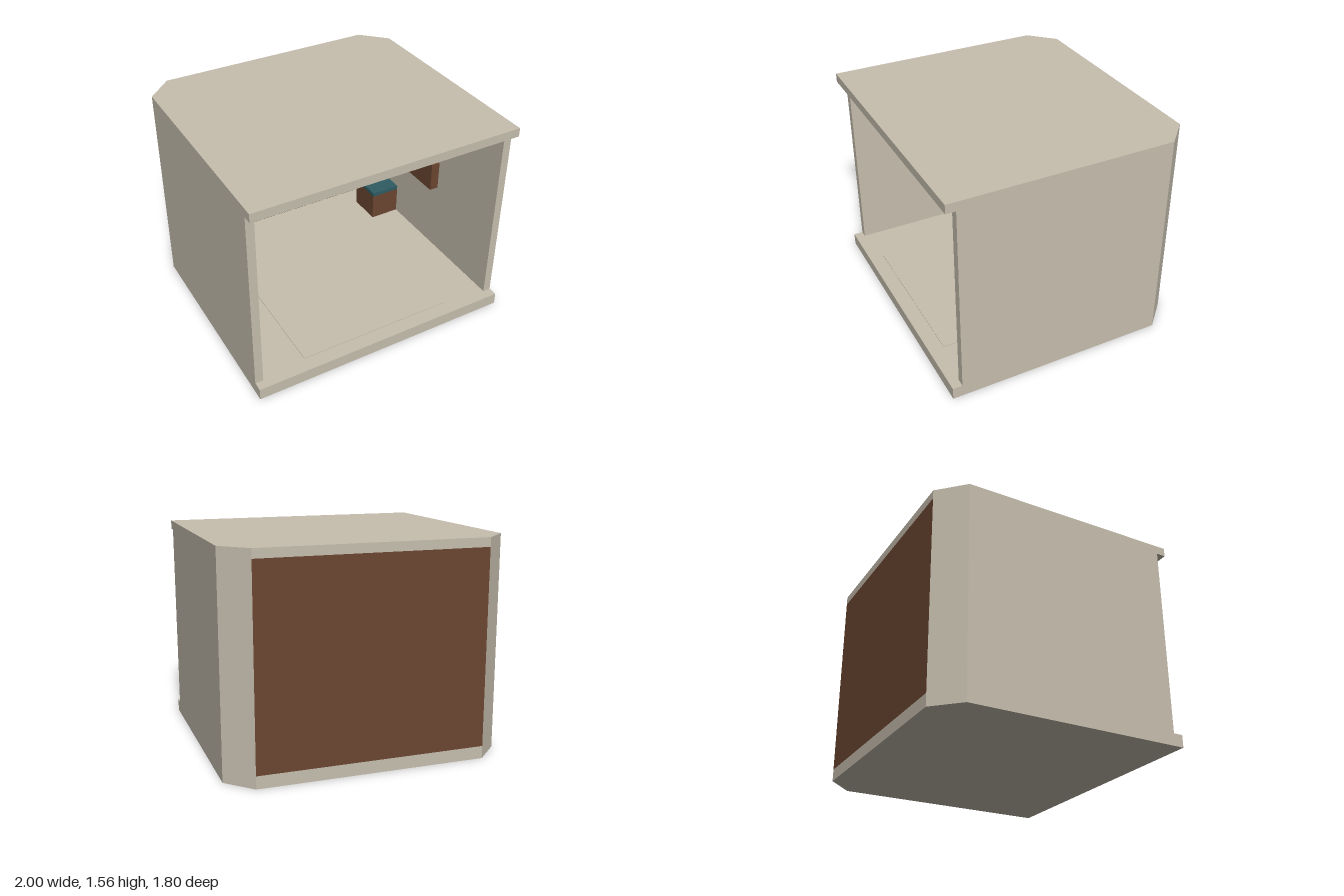
import * as THREE from 'three';

const mat = (name, color) => {
  const m = new THREE.MeshStandardMaterial({ color });
  m.name = name;
  return m;
};

export function createModel() {
  const stone = mat('warm beige', 0xc6beae);
  const wood = mat('dark brown', 0x6b4530);
  const teal = mat('deep teal', 0x2f5c63);
  const room = new THREE.Group();
  room.name = 'room';

  // Box given by its minimum and maximum corners
  const box = (name, material, [x0, y0, z0], [x1, y1, z1]) => {
    const mesh = new THREE.Mesh(new THREE.BoxGeometry(x1 - x0, y1 - y0, z1 - z0), material);
    mesh.position.set((x0 + x1) / 2, (y0 + y1) / 2, (z0 + z1) / 2);
    mesh.name = name;
    room.add(mesh);
  };

  // Vertical prism over a plan outline of [x, z] points
  const prism = (name, material, plan, y0, y1) => {
    const shape = new THREE.Shape(plan.map(([x, z]) => new THREE.Vector2(x, -z)));
    const geo = new THREE.ExtrudeGeometry(shape, { depth: y1 - y0, bevelEnabled: false });
    geo.rotateX(-Math.PI / 2);
    geo.translate(0, y0, 0);
    const mesh = new THREE.Mesh(geo, material);
    mesh.name = name;
    room.add(mesh);
  };

  const floorTop = 0.09, ceilingBase = 1.495, height = 1.56;

  // Floor and ceiling slabs with clipped back corners
  const slab = [[-1, 0.9], [1, 0.9], [1, -0.72], [0.82, -0.9], [-0.82, -0.9], [-1, -0.72]];
  prism('floor', stone, slab, 0, floorTop);
  prism('ceiling', stone, slab, ceilingBase, height);
  box('floorMat', stone, [-0.6, floorTop, -0.41], [0.6, floorTop + 0.005, 0.79]);

  // Back wall with its thin pale panel
  prism('backWall', wood, [[-0.8, -0.835], [0.8, -0.835], [0.82, -0.9], [-0.82, -0.9]], floorTop, ceilingBase);
  box('wallPanel', stone, [-0.625, 0.5, -0.835], [0.62, 0.92, -0.827]);

  for (const s of [-1, 1]) {
    const side = s > 0 ? 'left' : 'right';
    const span = (a, b) => [Math.min(s * a, s * b), Math.max(s * a, s * b)];

    // Side wall and angled corner wall
    prism(side + 'Wall', stone, [[s, 0.83], [s, -0.72], [s * 0.94, -0.695], [s * 0.94, 0.83]], floorTop, ceilingBase);
    prism(side + 'CornerWall', stone,
      [[s, -0.72], [s * 0.82, -0.9], [s * 0.8, -0.835], [s * 0.94, -0.695]], floorTop, ceilingBase);

    // Low seat with a teal cushion
    const [a, b] = span(0.7, 0.94);
    box(side + 'SeatBase', wood, [a, floorTop, -0.67], [b, 0.305, -0.4]);
    box(side + 'SeatCushion', teal, [a, 0.305, -0.67], [b, 0.338, -0.4]);

    // Small box under the ceiling in the corner
    const [c, d] = span(0.793, 0.905);
    box(side + 'CeilingBox', wood, [c, 1.415, -0.78], [d, ceilingBase, -0.67]);
  }

  // Cabinet on one side wall
  box('wallCabinet', wood, [0.87, 0.65, -0.15], [0.94, 0.875, 0.15]);

  return room;
}
